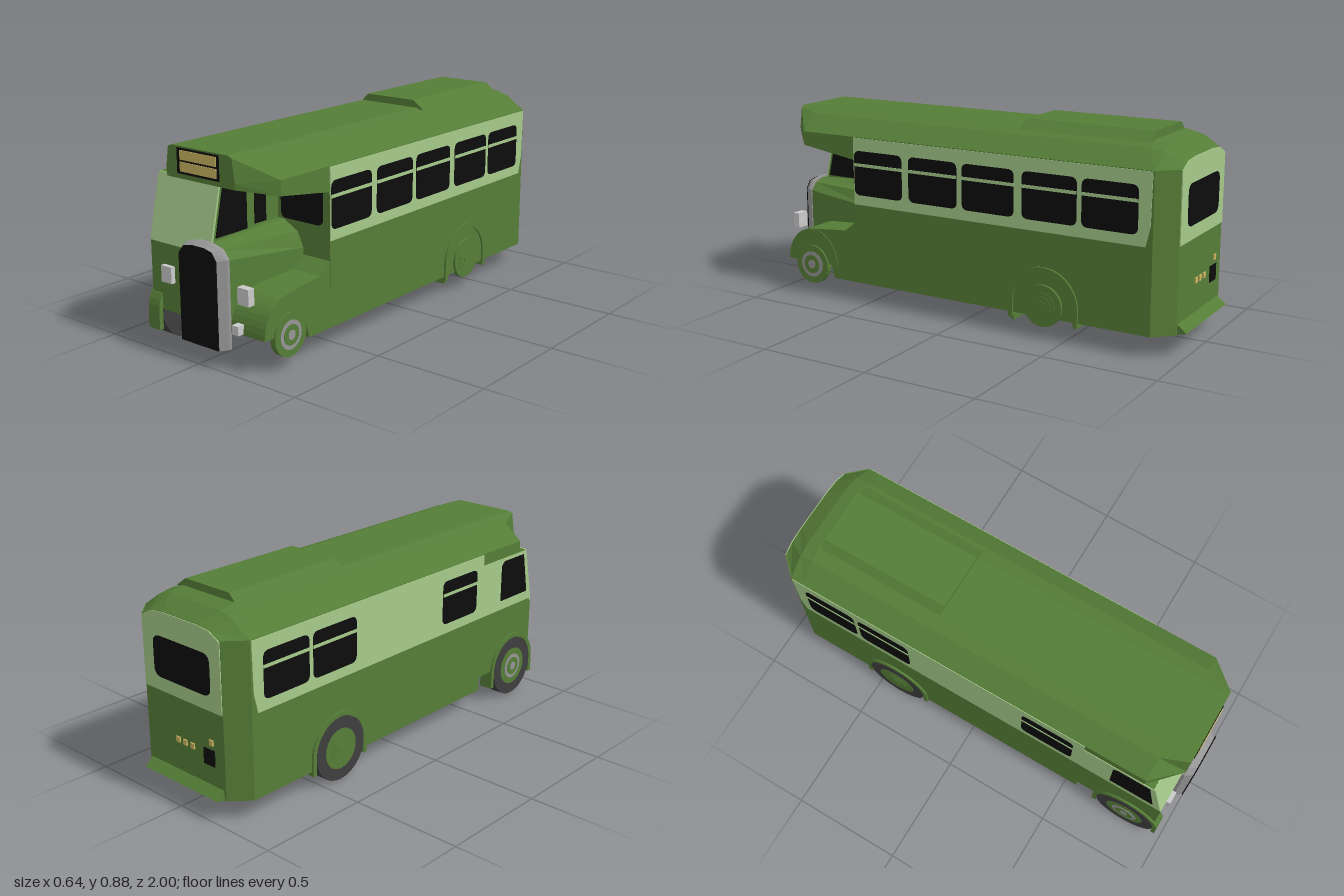
import * as THREE from 'three';

export function createModel() {
  const bus = new THREE.Group();
  const mat = (name, color) => Object.assign(new THREE.MeshStandardMaterial({ color, flatShading: true }), { name });
  const green = mat('body green', 0x557d37);
  const pale = mat('pale green', 0xa6ca8a);
  const black = mat('black', 0x0d0d0d);
  const tan = mat('tan', 0xcbb660);
  const lamp = mat('lamp grey', 0xcacaca);
  const metal = mat('radiator grey', 0x959595);
  const rubber = mat('tyre grey', 0x3e3e3e);

  const add = (name, geo, m) => {
    const mesh = new THREE.Mesh(geo, m);
    mesh.name = name;
    bus.add(mesh);
    return mesh;
  };
  const box = (name, m, x0, x1, y0, y1, z0, z1) =>
    add(name, new THREE.BoxGeometry(x1 - x0, y1 - y0, z1 - z0)
      .translate((x0 + x1) / 2, (y0 + y1) / 2, (z0 + z1) / 2), m);
  const poly = (pts) => new THREE.Shape(pts.map((p) => new THREE.Vector2(p[0], p[1])));
  const extrude = (shape, depth) =>
    new THREE.ExtrudeGeometry(shape, { depth, bevelEnabled: false, curveSegments: 10 });
  // side profile drawn in (z, y), running from x0 to x1
  const across = (name, m, shape, x0, x1) =>
    add(name, extrude(shape, x1 - x0).rotateY(-Math.PI / 2).translate(x1, 0, 0), m);
  // front outline drawn in (x, y), running from z0 to z1
  const along = (name, m, shape, z0, z1) =>
    add(name, extrude(shape, z1 - z0).translate(0, 0, z0), m);
  const rounded = (a0, a1, y0, y1, r = 0.03) => {
    const s = new THREE.Shape();
    s.moveTo(a0 + r, y0); s.lineTo(a1 - r, y0); s.quadraticCurveTo(a1, y0, a1, y0 + r);
    s.lineTo(a1, y1 - r); s.quadraticCurveTo(a1, y1, a1 - r, y1);
    s.lineTo(a0 + r, y1); s.quadraticCurveTo(a0, y1, a0, y1 - r);
    s.lineTo(a0, y0 + r); s.quadraticCurveTo(a0, y0, a0 + r, y0);
    return s;
  };
  // skin over anticlockwise rings [z, points], ordered from back to front
  const loft = (name, m, rings) => {
    const out = [];
    const put = (z, p) => out.push(p[0], p[1], z);
    const n = rings[0][1].length;
    for (let i = 0; i + 1 < rings.length; i++) {
      const [z0, a] = rings[i], [z1, b] = rings[i + 1];
      for (let j = 0; j < n; j++) {
        const k = (j + 1) % n;
        put(z0, a[j]); put(z0, a[k]); put(z1, b[k]);
        put(z0, a[j]); put(z1, b[k]); put(z1, b[j]);
      }
    }
    const [zb, back] = rings[0], [zf, front] = rings[rings.length - 1];
    for (let j = 1; j + 1 < n; j++) {
      put(zb, back[0]); put(zb, back[j + 1]); put(zb, back[j]);
      put(zf, front[0]); put(zf, front[j]); put(zf, front[j + 1]);
    }
    const g = new THREE.BufferGeometry();
    g.setAttribute('position', new THREE.Float32BufferAttribute(out, 3));
    g.computeVertexNormals();
    return add(name, g, m);
  };
  const mirrored = (half) => [...half, ...half.slice().reverse().map(([x, y]) => [-x, y])];

  // saloon body, with chamfered rear corners
  const plan = poly([[-0.305, -0.56], [0.305, -0.56], [0.305, 0.88], [0.23, 0.96], [-0.23, 0.96], [-0.305, 0.88]]);
  add('saloonBody', extrude(plan, 0.67).rotateX(-Math.PI / 2).translate(0, 0.09, 0), green);
  across('rearSkirt', green, poly([[-0.958, 0.135], [-1, 0.1], [-0.958, 0.09]]), -0.22, 0.22);

  // roof and front canopy
  loft('roof', green, [
    [-0.96, mirrored([[0.23, 0.75], [0.23, 0.755], [0.17, 0.785], [0.1, 0.795]])],
    [-0.88, mirrored([[0.305, 0.75], [0.305, 0.757], [0.215, 0.82], [0.15, 0.84]])],
    [-0.82, mirrored([[0.305, 0.75], [0.305, 0.76], [0.215, 0.83], [0.15, 0.853]])],
    [0.56, mirrored([[0.305, 0.75], [0.305, 0.76], [0.215, 0.83], [0.15, 0.853]])],
  ]);
  loft('canopy', green, [
    [0.555, mirrored([[0.305, 0.655], [0.305, 0.76], [0.215, 0.83], [0.15, 0.853]])],
    [0.84, mirrored([[0.305, 0.698], [0.305, 0.76], [0.215, 0.83], [0.15, 0.853]])],
    [0.96, mirrored([[0.18, 0.725], [0.185, 0.75], [0.17, 0.845], [0.15, 0.853]])],
  ]);
  const podEnd = [[-0.16, 0.845], [0.19, 0.845], [0.135, 0.885], [-0.12, 0.885]];
  loft('roofPod', green, [[-0.81, podEnd], [-0.22, podEnd]]);

  // destination sign
  box('signPanel', black, -0.12, 0.105, 0.745, 0.847, 0.957, 0.963);
  for (const y of [0.755, 0.801]) box('signBlind', tan, -0.102, 0.093, y, y + 0.038, 0.96, 0.966);

  // pale band and windows on both sides
  const bays = [[0.3, 0.555], [0.018, 0.265], [-0.26, -0.008], [-0.55, -0.298], [-0.818, -0.572]];
  for (const s of [1, -1]) {
    const plate = (name, m, shape, x, t) => across(name, m, shape, s > 0 ? x : -x - t, s > 0 ? x + t : -x);
    plate('paleBand', pale, poly([[0.56, 0.455], [0.56, 0.757], [-0.875, 0.757], [-0.87, 0.54], [-0.85, 0.455]]), 0.302, 0.006);
    bays.forEach(([z0, z1], i) => {
      if (s < 0 && (i === 1 || i === 2)) return;
      const end = s < 0 && i === 0 ? 0.51 : z1;
      const start = s < 0 && i === 0 ? 0.265 : z0;
      plate('sideWindow', black, rounded(start, end, 0.5, 0.7), 0.305, 0.005);
      plate('windowBar', pale, poly([[start, 0.63], [end, 0.63], [end, 0.644], [start, 0.644]]), 0.305, 0.007);
    });
  }

  // rear panel, window and lamps
  along('rearBand', pale, poly([[-0.228, 0.455], [0.228, 0.455], [0.228, 0.755], [0.17, 0.785], [0.1, 0.793],
    [-0.1, 0.793], [-0.17, 0.785], [-0.228, 0.755]]), -0.964, -0.956);
  along('rearWindow', black, rounded(-0.168, 0.162, 0.515, 0.69, 0.04), -0.967, -0.96);
  for (const [x, y] of [[0.042, 0.27], [0, 0.27], [-0.045, 0.27], [-0.158, 0.32]]) {
    box('rearLamp', tan, x - 0.011, x + 0.011, y - 0.012, y + 0.012, -0.966, -0.958);
  }
  box('rearPlate', black, -0.174, -0.112, 0.22, 0.288, -0.966, -0.958);

  // half cab
  across('cabLower', green, poly([[0.55, 0.155], [0.95, 0.155], [0.95, 0.44], [0.55, 0.44]]), -0.305, -0.08);
  across('cabUpper', green, poly([[0.55, 0.44], [0.945, 0.44], [0.885, 0.712], [0.55, 0.712]]), -0.304, 0.03);
  across('cabFront', pale, poly([[0.942, 0.44], [0.951, 0.44], [0.891, 0.712], [0.882, 0.712]]), -0.305, 0.031);
  across('cabSideBand', pale, poly([[0.56, 0.455], [0.947, 0.455], [0.892, 0.705], [0.56, 0.705]]), -0.308, -0.302);
  across('cabSideWindow', black, poly([[0.7, 0.5], [0.905, 0.5], [0.87, 0.69], [0.72, 0.69], [0.7, 0.67]]), -0.311, -0.305);
  across('cabInnerWindow', black, poly([[0.745, 0.5], [0.918, 0.5], [0.875, 0.692], [0.745, 0.692]]), 0.028, 0.034);
  across('cabInnerWindow', black, poly([[0.635, 0.51], [0.7, 0.51], [0.7, 0.68], [0.635, 0.67]]), 0.028, 0.034);
  along('bulkheadWindow', black, rounded(0.05, 0.27, 0.51, 0.675), 0.558, 0.565);

  // bonnet and radiator
  loft('bonnet', green, [
    [0.55, [[-0.11, 0.15], [0.165, 0.15], [0.165, 0.4], [0.135, 0.465], [0.06, 0.505], [-0.02, 0.505], [-0.08, 0.48], [-0.11, 0.45]]],
    [0.955, [[-0.11, 0.15], [0.13, 0.15], [0.13, 0.44], [0.1, 0.474], [0.05, 0.488], [-0.02, 0.488], [-0.08, 0.47], [-0.11, 0.44]]],
  ]);
  const shell = [[-0.115, 0.08], [0.135, 0.08], [0.135, 0.445], [0.105, 0.48], [0.045, 0.496], [-0.02, 0.496], [-0.085, 0.478], [-0.115, 0.445]];
  const face = [[-0.092, 0.08], [0.11, 0.08], [0.11, 0.44], [0.087, 0.473], [0.045, 0.483], [-0.015, 0.483], [-0.066, 0.473], [-0.092, 0.44]];
  loft('radiatorShell', metal, [[0.95, shell], [0.965, shell], [0.995, face]]);
  along('radiatorGrille', black, poly(face), 0.994, 1);

  // headlamps and fog lamp
  for (const x of [-0.201, 0.219]) box('headlamp', lamp, x - 0.029, x + 0.029, 0.283, 0.352, 0.938, 0.97);
  box('fogLamp', lamp, 0.165, 0.198, 0.157, 0.195, 0.94, 0.978);

  // front mudguard beside the bonnet and its sweep into the body
  const guard = new THREE.Shape();
  guard.moveTo(0.95, 0.152);
  guard.absellipse(0.81, 0.152, 0.14, 0.156, 0, Math.PI, false);
  guard.closePath();
  across('frontMudguard', green, guard, 0.125, 0.308);
  across('mudguardSweep', green, poly([[0.55, 0.09], [0.69, 0.09], [0.72, 0.2], [0.82, 0.308], [0.62, 0.325], [0.55, 0.38]]), 0.13, 0.304);

  // wheel arch lips
  const lip = (z, x0, x1) => {
    const s = new THREE.Shape();
    s.absarc(z, 0.145, 0.162, 0, Math.PI, false);
    s.lineTo(z - 0.162, 0.07); s.lineTo(z - 0.142, 0.07); s.lineTo(z - 0.142, 0.145);
    s.absarc(z, 0.145, 0.142, Math.PI, 0, true);
    s.lineTo(z + 0.142, 0.07); s.lineTo(z + 0.162, 0.07);
    s.closePath();
    across('wheelArch', green, s, x0, x1);
  };
  lip(-0.4, 0.25, 0.314);
  lip(-0.4, -0.314, -0.25);
  lip(0.81, -0.314, -0.25);
  box('underfloorPlate', green, -0.25, 0.3, 0.055, 0.1, -0.26, -0.245);

  // wheels: hubs on both sides, tyres on the right
  const disc = (name, m, r, x0, x1, z) =>
    add(name, new THREE.CylinderGeometry(r, r, x1 - x0, 28).rotateZ(Math.PI / 2).translate((x0 + x1) / 2, 0.142, z), m);
  for (const z of [0.81, -0.4]) {
    disc('tyre', rubber, 0.142, -0.314, -0.25, z);
    const centre = z > 0 ? metal : green;
    for (const s of [1, -1]) {
      const side = (name, m, r, a, b) => disc(name, m, r, s > 0 ? a : -b, s > 0 ? b : -a, z);
      side('wheelDisc', green, 0.09, 0.29, 0.316);
      side('wheelRing', centre, 0.06, 0.3, 0.318);
      side('wheelDish', green, 0.043, 0.3, 0.32);
      side('hubCap', centre, 0.02, 0.3, 0.322);
    }
  }
  return bus;
}
